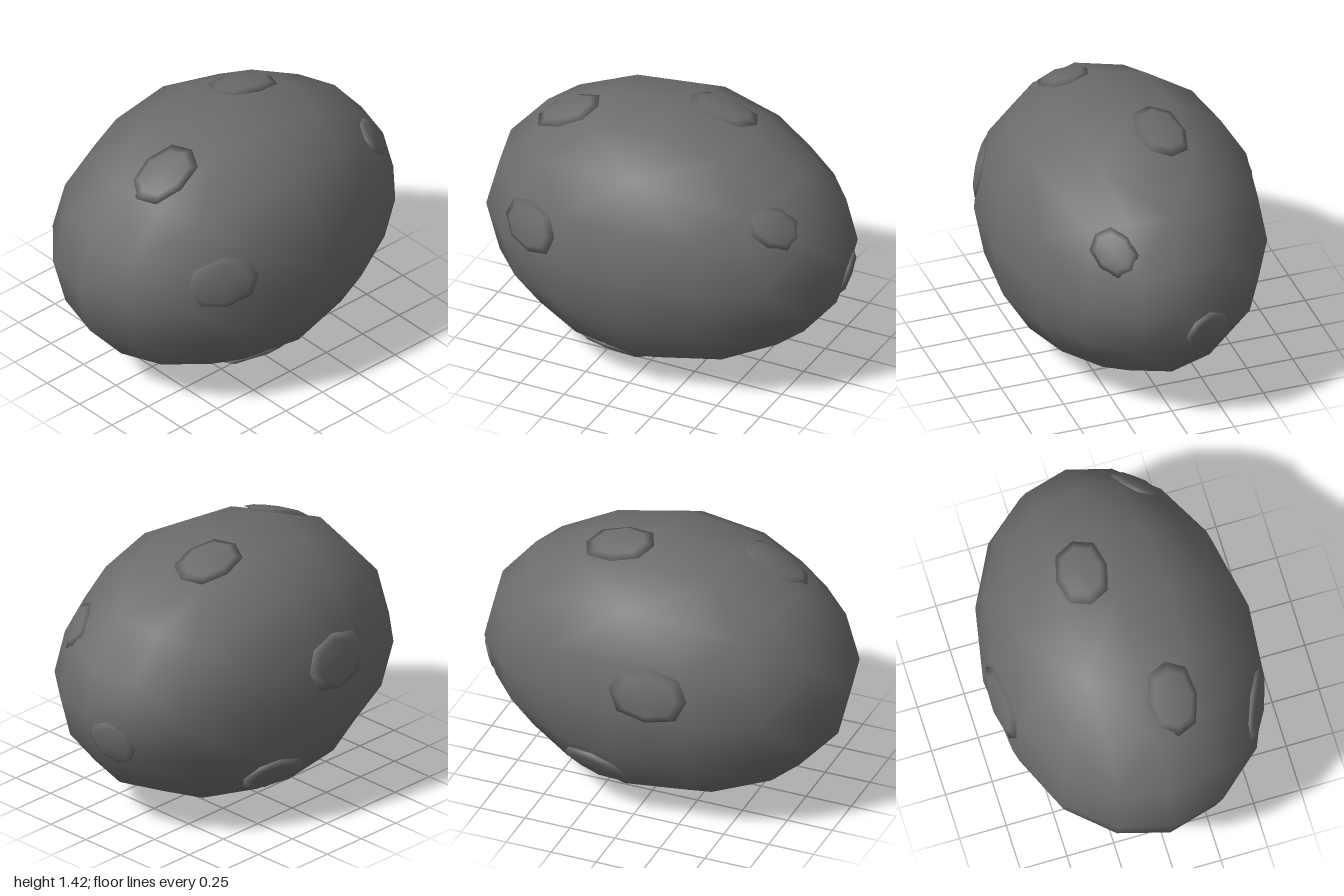
import * as THREE from 'three';

const CENTER_Y = 0.715;
const material = new THREE.MeshStandardMaterial({ color: 0x6c6c6c });

// Cube smoothed by repeated quad subdivision (Catmull-Clark)
function smoothCube(levels) {
  let points = Array.from({ length: 8 }, (_, i) =>
    new THREE.Vector3(i & 1 ? 1 : -1, i & 2 ? 1 : -1, i & 4 ? 1 : -1));
  let quads = [[1, 3, 7, 5], [0, 4, 6, 2], [2, 6, 7, 3], [0, 1, 5, 4], [4, 5, 7, 6], [0, 2, 3, 1]];
  const average = (list) =>
    list.reduce((sum, p) => sum.add(p), new THREE.Vector3()).divideScalar(list.length);

  for (let level = 0; level < levels; level++) {
    const faceCentres = quads.map((q) => average(q.map((i) => points[i])));
    const edges = new Map();
    const around = points.map(() => ({ faces: [], mids: [] }));
    const key = (a, b) => Math.min(a, b) + '_' + Math.max(a, b);
    quads.forEach((q, f) => q.forEach((a, k) => {
      const b = q[(k + 1) % 4];
      around[a].faces.push(faceCentres[f]);
      if (!edges.has(key(a, b))) {
        edges.set(key(a, b), { a, b, faces: [], index: 0 });
        const mid = average([points[a], points[b]]);
        around[a].mids.push(mid);
        around[b].mids.push(mid);
      }
      edges.get(key(a, b)).faces.push(faceCentres[f]);
    }));
    const next = points.map((p, i) => {
      const n = around[i].faces.length;
      return average(around[i].faces)
        .addScaledVector(average(around[i].mids), 2)
        .addScaledVector(p, n - 3).divideScalar(n);
    });
    for (const e of edges.values()) {
      e.index = next.length;
      next.push(average([points[e.a], points[e.b], ...e.faces]));
    }
    const firstFace = next.length;
    next.push(...faceCentres);
    quads = quads.flatMap((q, f) => q.map((a, k) => [
      a, edges.get(key(a, q[(k + 1) % 4])).index, firstFace + f, edges.get(key(q[(k + 3) % 4], a)).index,
    ]));
    points = next;
  }

  const geometry = new THREE.BufferGeometry().setFromPoints(points);
  geometry.setIndex(quads.flatMap(([a, b, c, d]) => [a, b, c, a, c, d]));
  geometry.computeVertexNormals();
  return geometry;
}

// Egg lying along z, blunt end to the front and narrower to the back
function eggGeometry() {
  const geometry = smoothCube(2);
  const pos = geometry.attributes.position;
  for (let i = 0; i < pos.count; i++) {
    const t = pos.getZ(i) * 1.139;
    const girth = 0.81 * (1 + 0.0755 * t - 0.08 * t * t);
    pos.setXYZ(i, pos.getX(i) * girth, pos.getY(i) * girth, t - 0.04 * (1 - t * t));
  }
  geometry.computeVertexNormals();
  return geometry;
}

// Spots: x, y, z near the shell, half length, half width
const SPOTS = [
  [0.13, 1.3, 0.54, 0.195, 0.135],
  [0.59, 0.85, 0.54, 0.195, 0.14],
  [-0.68, 0.86, 0.15, 0.21, 0.15],
  [-0.13, 1.39, -0.24, 0.195, 0.138],
  [0.315, 1.035, -0.75, 0.14, 0.108],
  [0.4, 0.13, 0.145, 0.19, 0.14],
  [-0.13, 0.58, -0.95, 0.135, 0.118],
  [-0.54, 0.29, -0.19, 0.185, 0.135],
];

export function createModel() {
  const model = new THREE.Group();
  model.name = 'spottedEgg';
  const body = new THREE.Group();
  body.name = 'body';
  body.position.y = CENTER_Y;
  model.add(body);

  const shell = new THREE.Mesh(eggGeometry(), material);
  shell.name = 'shell';

  // Each spot is a flattened disc seated on the shell, long axis towards the ends
  const discGeometry = smoothCube(1);
  SPOTS.forEach(([x, y, z, halfLength, halfWidth], i) => {
    const outward = new THREE.Vector3(x, y - CENTER_Y, z).normalize();
    const ray = new THREE.Raycaster(outward.clone().multiplyScalar(3), outward.clone().negate());
    const hit = ray.intersectObject(shell)[0];
    const normal = hit.normal.clone().normalize();
    const side = new THREE.Vector3().crossVectors(normal, new THREE.Vector3(0, 0, 1)).normalize();
    const along = new THREE.Vector3().crossVectors(side, normal);

    const spot = new THREE.Mesh(discGeometry, material);
    spot.name = 'spot' + (i + 1);
    spot.quaternion.setFromRotationMatrix(new THREE.Matrix4().makeBasis(side, normal, along));
    spot.position.copy(hit.point).addScaledVector(normal, 0.002);
    spot.scale.set(halfWidth, 0.028, halfLength);
    body.add(spot);
  });

  body.add(shell);
  return model;
}
